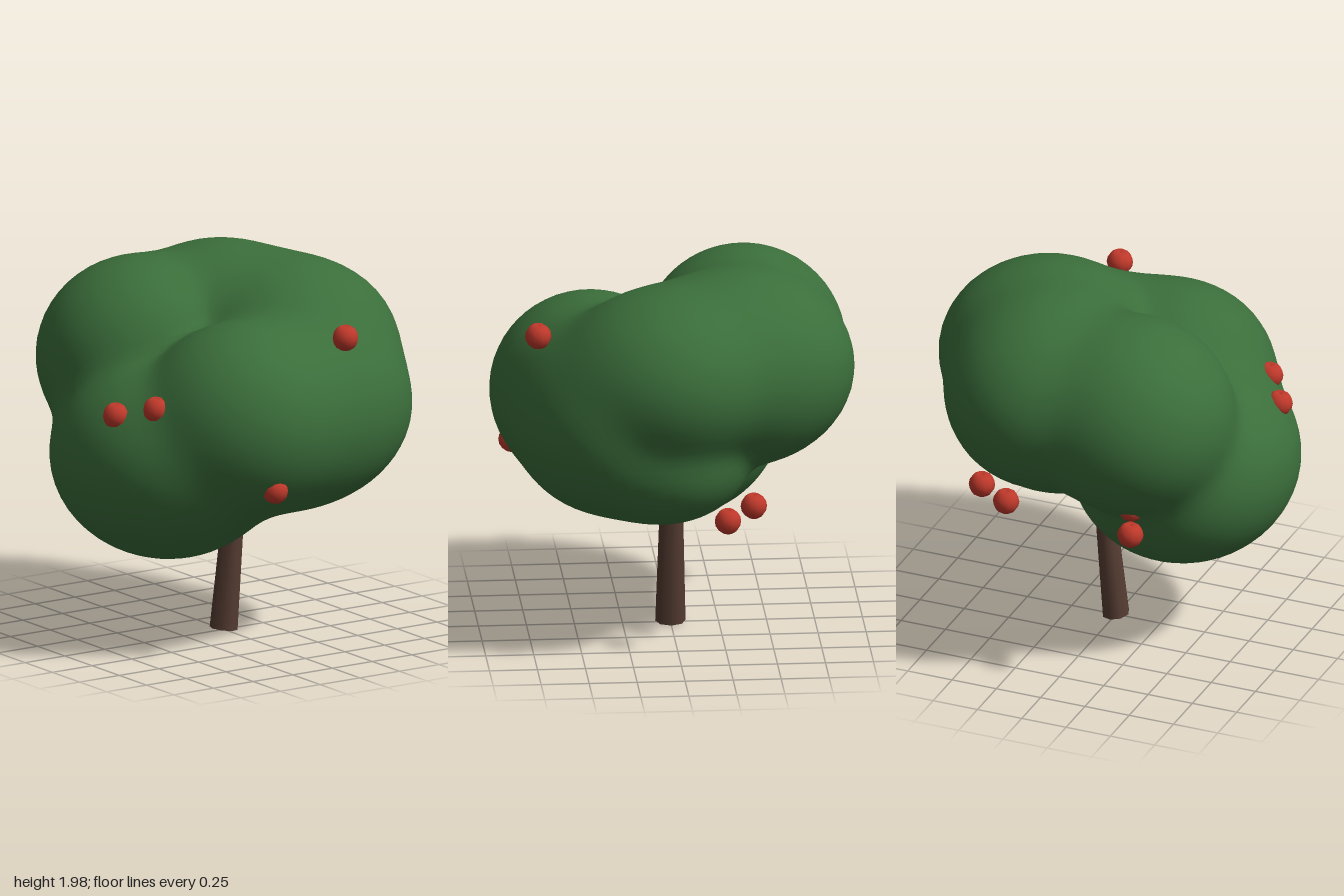
import * as THREE from 'three';
import { mergeVertices } from 'three/addons/utils/BufferGeometryUtils.js';

const leafGreen = new THREE.MeshStandardMaterial({ color: 0x3b6e3b });
leafGreen.name = 'leafGreen';
const barkBrown = new THREE.MeshStandardMaterial({ color: 0x553c32 });
barkBrown.name = 'barkBrown';
const appleRed = new THREE.MeshStandardMaterial({ color: 0xc0392b });
appleRed.name = 'appleRed';

// Leafy lobes: centre and radii of overlapping ellipsoids
const LOBES = [
  { c: [-0.25, 1.43, -0.4], r: [0.55, 0.52, 0.53] },   // upper back, right side
  { c: [0.22, 1.46, -0.33], r: [0.55, 0.52, 0.61] },   // upper back, left side
  { c: [0.4, 1.47, 0.03], r: [0.56, 0.47, 0.57] },     // left side
  { c: [0.14, 1.22, 0.36], r: [0.72, 0.52, 0.5] },     // front
  { c: [-0.17, 1.24, 0.4], r: [0.52, 0.5, 0.52] },     // front centre
  { c: [0.35, 1.05, 0.08], r: [0.5, 0.37, 0.48] },     // low left
  { c: [-0.38, 1.0, 0.03], r: [0.595, 0.54, 0.635] },  // low right
];
const HEART = new THREE.Vector3(0, 1.2, -0.02);

// Distance from the heart of the canopy to the far side of a lobe
function exitDistance(dir, { c, r }) {
  const radii = new THREE.Vector3(...r);
  const o = HEART.clone().sub(new THREE.Vector3(...c)).divide(radii);
  const d = dir.clone().divide(radii);
  const a = d.dot(d), b = o.dot(d), k = o.dot(o) - 1;
  const disc = b * b - a * k;
  return disc > 0 ? Math.max(0, (-b + Math.sqrt(disc)) / a) : 0;
}

// A sphere pushed out to a soft union of all lobes
function canopyGeometry() {
  const ball = new THREE.IcosahedronGeometry(1, 16);
  ball.deleteAttribute('normal');
  ball.deleteAttribute('uv');
  const geo = mergeVertices(ball, 1e-4);
  const pos = geo.attributes.position;
  const dir = new THREE.Vector3();
  const power = 15;
  for (let i = 0; i < pos.count; i++) {
    dir.fromBufferAttribute(pos, i).normalize();
    let sum = 0;
    for (const lobe of LOBES) sum += exitDistance(dir, lobe) ** power;
    dir.multiplyScalar(sum ** (1 / power)).add(HEART);
    pos.setXYZ(i, dir.x, dir.y, dir.z);
  }
  geo.computeVertexNormals();
  return geo;
}

// Round apple with a small dimple on top
function appleGeometry() {
  const radius = 0.069;
  const profile = [];
  for (let i = 0; i < 8; i++) {
    const a = (i / 8) * Math.PI;
    profile.push(new THREE.Vector2(Math.sin(a) * radius, -Math.cos(a) * radius));
  }
  profile.push(new THREE.Vector2(0, radius * 0.75));
  return new THREE.LatheGeometry(profile, 10);
}

export function createModel() {
  const tree = new THREE.Group();
  tree.name = 'appleTree';

  const canopy = new THREE.Mesh(canopyGeometry(), leafGreen);
  canopy.name = 'canopy';
  tree.add(canopy);

  // Leaning, tapered trunk
  const trunkGeo = new THREE.CylinderGeometry(0.055, 0.079, 0.85, 8);
  trunkGeo.translate(0, 0.425, 0);
  trunkGeo.scale(0.89, 1, 1);
  const trunk = new THREE.Mesh(trunkGeo, barkBrown);
  trunk.name = 'trunk';
  trunk.rotation.z = -0.1;
  trunk.position.y = 0.008;
  tree.add(trunk);

  // Apples in and around the leaves
  const appleGeo = appleGeometry();
  const apples = new THREE.Group();
  apples.name = 'apples';
  const spots = [
    [0.28, 1.67, 0.71], [-0.83, 1.31, 0.22], [-0.7, 1.36, 0.4], [-0.23, 0.945, 0.81],
    [0.65, 0.755, -0.25], [0.45, 0.77, -0.4], [-0.35, 1.0, -0.62], [-0.4, 0.92, -0.75],
  ];
  for (const spot of spots) {
    const apple = new THREE.Mesh(appleGeo, appleRed);
    apple.name = 'apple';
    apple.position.set(...spot);
    apples.add(apple);
  }
  tree.add(apples);
  return tree;
}
